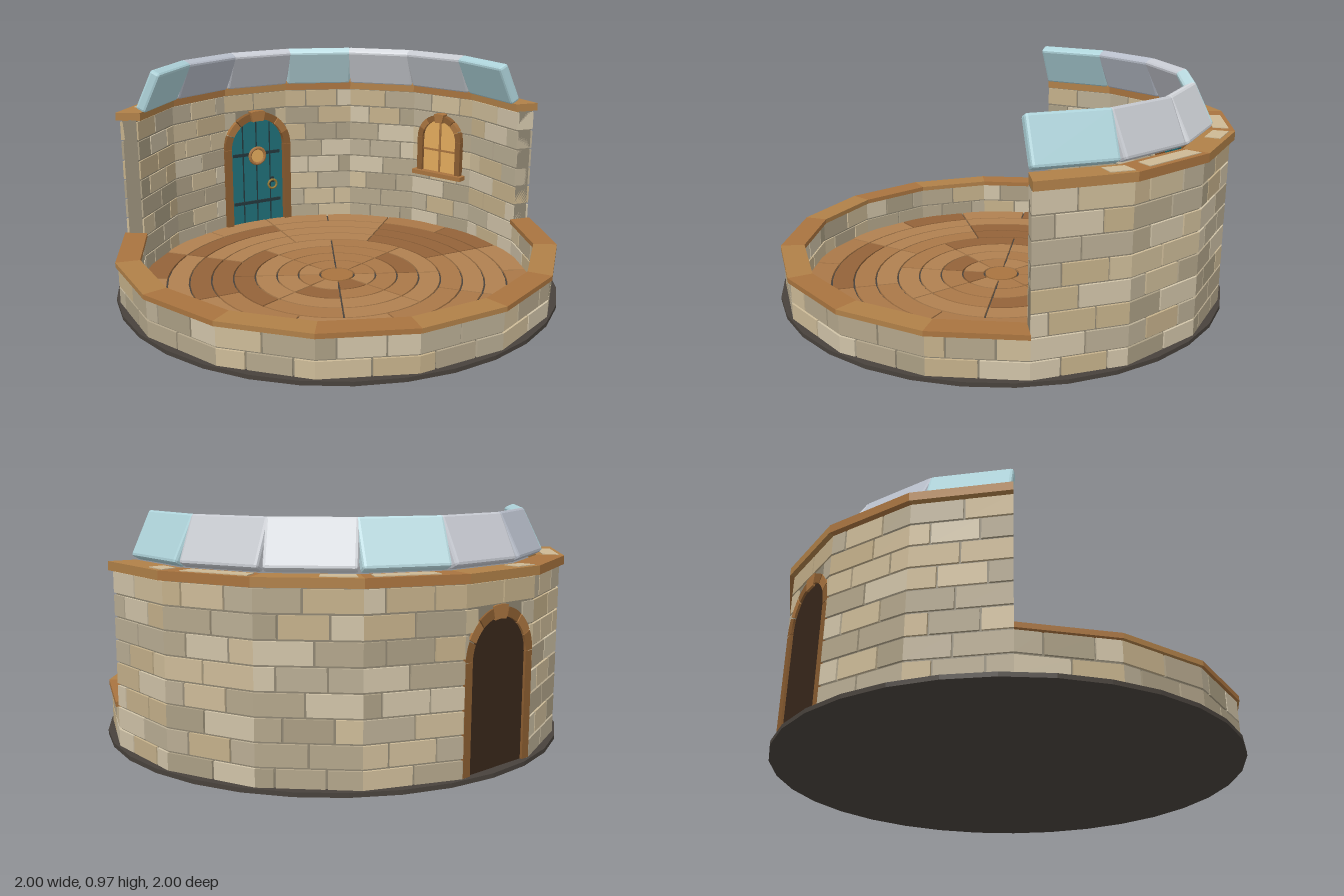
import * as THREE from 'three';
import { RoundedBoxGeometry } from 'three/addons/geometries/RoundedBoxGeometry.js';

const STEP = Math.PI / 8;                 // sixteen straight wall segments
const START = THREE.MathUtils.degToRad(8.2);
const TALL = [6, 7, 8, 9, 10, 11, 12];    // segments with the full-height wall
const DOOR = 8, WINDOW = 11;
const ROW = 0.0925, WALL_TOP = 0.745;

const mats = {};
const mat = (c) => (mats[c] ??= new THREE.MeshStandardMaterial({ color: c, flatShading: true }));
const STONES = [0xcdbb98, 0xb9ad94, 0xaa9e84, 0xc4b08a, 0xd0c3a8, 0xb3a68b];
const WOOD = 0xa9743f, WOOD_DARK = 0x8a5c30, MORTAR = 0x8f8672, GLASS = 0xe2ab5c;
const TEAL = 0x1f6f78, IRON = 0x23383c, SHADOW = 0x38261a;

function add(parent, name, geo, color, x = 0, y = 0, z = 0) {
  const m = new THREE.Mesh(geo, mat(color));
  m.name = name;
  m.position.set(x, y, z);
  parent.add(m);
  return m;
}

export function createModel() {
  const model = new THREE.Group();
  model.name = 'roundRoom';
  let seed = 7;
  const rand = () => (seed = (seed * 16807) % 2147483647) / 2147483647;
  const pick = (list) => list[Math.floor(rand() * list.length)];

  // Box bent between two directions; chord keeps it straight, arc curves it
  function sector(place, r0, r1, y0, y1, div) {
    const geo = new THREE.BoxGeometry(1, 1, 1, div, 1, 1);
    const p = geo.attributes.position;
    for (let i = 0; i < p.count; i++) {
      const [cx, cz] = place(0.5 - p.getX(i));
      const r = p.getZ(i) < 0 ? r0 : r1;
      p.setXYZ(i, cx * r, p.getY(i) < 0 ? y0 : y1, cz * r);
    }
    geo.computeVertexNormals();
    return geo;
  }
  const dir = (a) => [Math.cos(a), Math.sin(a)];
  function chord(k, t0, t1, r0, r1, y0, y1) {
    const a = dir(START + k * STEP), b = dir(START + (k + 1) * STEP);
    return sector((u) => {
      const t = t0 + (t1 - t0) * u;
      return [a[0] + (b[0] - a[0]) * t, a[1] + (b[1] - a[1]) * t];
    }, r0, r1, y0, y1, 1);
  }
  const arc = (a0, a1, r0, r1, y0, y1, div) =>
    sector((u) => dir(a0 + (a1 - a0) * u), r0, r1, y0, y1, div);

  // Group on a wall segment, with local +z pointing into the room
  function onWall(name, k, apothem) {
    const g = new THREE.Group(), a = START + (k + 0.5) * STEP, [c, s] = dir(a);
    g.name = name;
    g.position.set(c * apothem, 0, s * apothem);
    g.rotation.y = Math.atan2(-c, -s);
    model.add(g);
    return g;
  }

  function archShape(w, y0, spring, Type = THREE.Shape) {
    const s = new Type();
    s.moveTo(-w, y0);
    s.lineTo(w, y0);
    s.lineTo(w, spring);
    s.absarc(0, spring, w, 0, Math.PI, false);
    s.lineTo(-w, y0);
    return s;
  }
  const extrude = (shape, depth) =>
    new THREE.ExtrudeGeometry(shape, { depth, bevelEnabled: false, curveSegments: 10 });

  // Two posts and a ring of wedge blocks, with a keystone in the middle
  function archFrame(g, wIn, wOut, y0, spring, z0, z1) {
    const w = wOut - wIn, d = z1 - z0, n = 7;
    for (const s of [-1, 1])
      add(g, 'framePost', new THREE.BoxGeometry(w, spring - y0, d), WOOD_DARK,
        s * (wIn + w / 2), (y0 + spring) / 2, (z0 + z1) / 2);
    for (let i = 0; i < n; i++) {
      const a0 = (i * Math.PI) / n + 0.015, a1 = ((i + 1) * Math.PI) / n - 0.015;
      const key = i === 3 ? 0.008 : 0, s = new THREE.Shape();
      s.absarc(0, spring, wOut + key, a0, a1, false);
      s.absarc(0, spring, wIn - key, a1, a0, true);
      add(g, 'archBlock', extrude(s, d + key), i % 2 ? WOOD : WOOD_DARK, 0, 0, z0);
    }
  }

  // Base disc
  add(model, 'base', new THREE.CylinderGeometry(1, 1, 0.018, 32), 0x48423c, 0, 0.009, 0);

  // Floor planks in rings
  add(model, 'floorHub', new THREE.CylinderGeometry(0.074, 0.074, 0.012, 24), WOOD, 0, 0.022, 0);
  for (let i = 0; i < 8; i++) {
    const r0 = 0.08 + i * 0.1, n = i === 7 ? 16 : 8, w = (Math.PI * 2) / n;
    const turn = i > 3 && i < 7 ? w / 2 : 0, gap = 0.004 / (r0 + 0.05);
    for (let j = 0; j < n; j++) {
      const dark = (i > 3 && i < 7 && j === 5) || (i > 2 && i < 6 && j === 2) || rand() < 0.12;
      add(model, 'floorPlank', arc(turn + j * w + gap, turn + (j + 1) * w - gap,
        r0 + 0.004, r0 + (i === 7 ? 0.115 : 0.096), 0.016, 0.028, 6),
      dark ? 0x936339 : pick([0xb08050, 0xaa7848]));
    }
  }

  // Walls: mortar core with staggered stone blocks, topped with a wooden cap
  for (let k = 0; k < 16; k++) {
    const tall = TALL.includes(k);
    const top = tall ? WALL_TOP : 0.186, rows = tall ? 8 : 2;
    if (k !== DOOR) add(model, 'wallCore', chord(k, 0, 1, 0.912, 0.977, 0.01, top), MORTAR);
    for (let r = 0; r < rows; r++) {
      const j = (rand() - 0.5) * 0.14;
      let spans = (r + k) % 2 ? [[0, 0.5 + j], [0.5 + j, 1]]
        : [[0, 0.28 + j], [0.28 + j, 0.76 + j], [0.76 + j, 1]];
      if (k === DOOR && r < 7) {
        const side = r === 6 ? 0.18 : 0.06;
        spans = [[0, side], [1 - side, 1]];
      }
      const y0 = Math.max(r * ROW, 0.014) + 0.005;
      for (const [t0, t1] of spans)
        add(model, 'stone', chord(k, t0 ? t0 + 0.011 : 0, t1 < 1 ? t1 - 0.011 : 1,
          0.905, 0.987, y0, (r + 1) * ROW - 0.004), pick(STONES));
    }
    add(model, tall ? 'tallWallCap' : 'lowWallCap', tall
      ? chord(k, 0, 1, 0.893, 1.006, 0.742, 0.778)
      : chord(k, 0, 1, 0.893, 0.998, 0.184, 0.205), k % 2 ? WOOD : 0xb08048);
  }

  // Pale stones set flush in the top of the tall cap: segment, start, end
  for (const [k, t0, t1] of [[6, 0.35, 0.95], [8, 0, 0.25], [9, 0.25, 0.9],
    [10, 0.05, 0.4], [11, 0.05, 0.8], [12, 0, 0.25]])
    add(model, 'capStone', chord(k, t0, t1, 0.92, 0.985, 0.75, 0.781), 0xcdb995);

  // Leaning roof panels
  const panelColors = [0xaed3da, 0xb9bfcb, 0xc9ccd4, 0xbfe0e6, 0xd6d9de, 0xc6c9cf, 0xaed3da];
  TALL.forEach((k, i) => {
    const g = onWall('roofPanel', k, 0.835);
    add(g, 'panel', new RoundedBoxGeometry(0.338, 0.2, 0.052, 1, 0.012), panelColors[i], 0, 0.876, 0)
      .rotation.x = THREE.MathUtils.degToRad(26);
  });

  // Door: wall around the opening, arch frame, planked leaf and fittings
  const door = onWall('door', DOOR, 0.893);
  const surround = new THREE.Shape([[-0.178, 0.01], [0.178, 0.01], [0.178, WALL_TOP], [-0.178, WALL_TOP]]
    .map(([x, y]) => new THREE.Vector2(x, y)));
  surround.holes.push(archShape(0.156, 0.012, 0.45, THREE.Path));
  add(door, 'doorSurround', extrude(surround, 0.068), MORTAR, 0, 0, -0.068);
  archFrame(door, 0.152, 0.19, 0.02, 0.45, -0.076, 0.03);
  add(door, 'doorBack', extrude(archShape(0.156, 0.02, 0.45), 0.03), SHADOW, 0, 0, -0.066);
  add(door, 'doorLeaf', extrude(archShape(0.154, 0.02, 0.45), 0.03), TEAL, 0, 0, -0.03);
  for (const x of [-0.078, 0, 0.078])
    add(door, 'plankSeam', new THREE.BoxGeometry(0.006, x ? 0.555 : 0.575, 0.004), IRON, x, x ? 0.3 : 0.31, 0.001);
  for (const y of [0.14, 0.41])
    add(door, 'strap', new THREE.BoxGeometry(0.27, 0.016, 0.01), IRON, 0, y, 0.004);
  add(door, 'peephole', new THREE.CylinderGeometry(0.04, 0.04, 0.02, 20), GLASS, 0, 0.4, 0.005).rotation.x = Math.PI / 2;
  add(door, 'peepholeRing', new THREE.TorusGeometry(0.043, 0.009, 8, 20), WOOD, 0, 0.4, 0.014);
  add(door, 'handlePlate', new THREE.BoxGeometry(0.02, 0.03, 0.014), IRON, 0.085, 0.255, 0.006);
  add(door, 'handleRing', new THREE.TorusGeometry(0.024, 0.006, 8, 18), 0x9a7a35, 0.085, 0.232, 0.016);

  // Window: glowing pane, glazing bars, arch frame and sill
  const win = onWall('window', WINDOW, 0.888);
  add(win, 'pane', extrude(archShape(0.105, 0.33, 0.51), 0.012), GLASS);
  add(win, 'verticalBar', new THREE.BoxGeometry(0.01, 0.28, 0.012), WOOD, 0, 0.47, 0.012);
  add(win, 'horizontalBar', new THREE.BoxGeometry(0.2, 0.01, 0.012), WOOD, 0, 0.45, 0.012);
  archFrame(win, 0.1, 0.13, 0.33, 0.51, -0.01, 0.03);
  add(win, 'sill', new THREE.BoxGeometry(0.296, 0.022, 0.06), WOOD, 0, 0.322, 0.02);

  return model;
}
